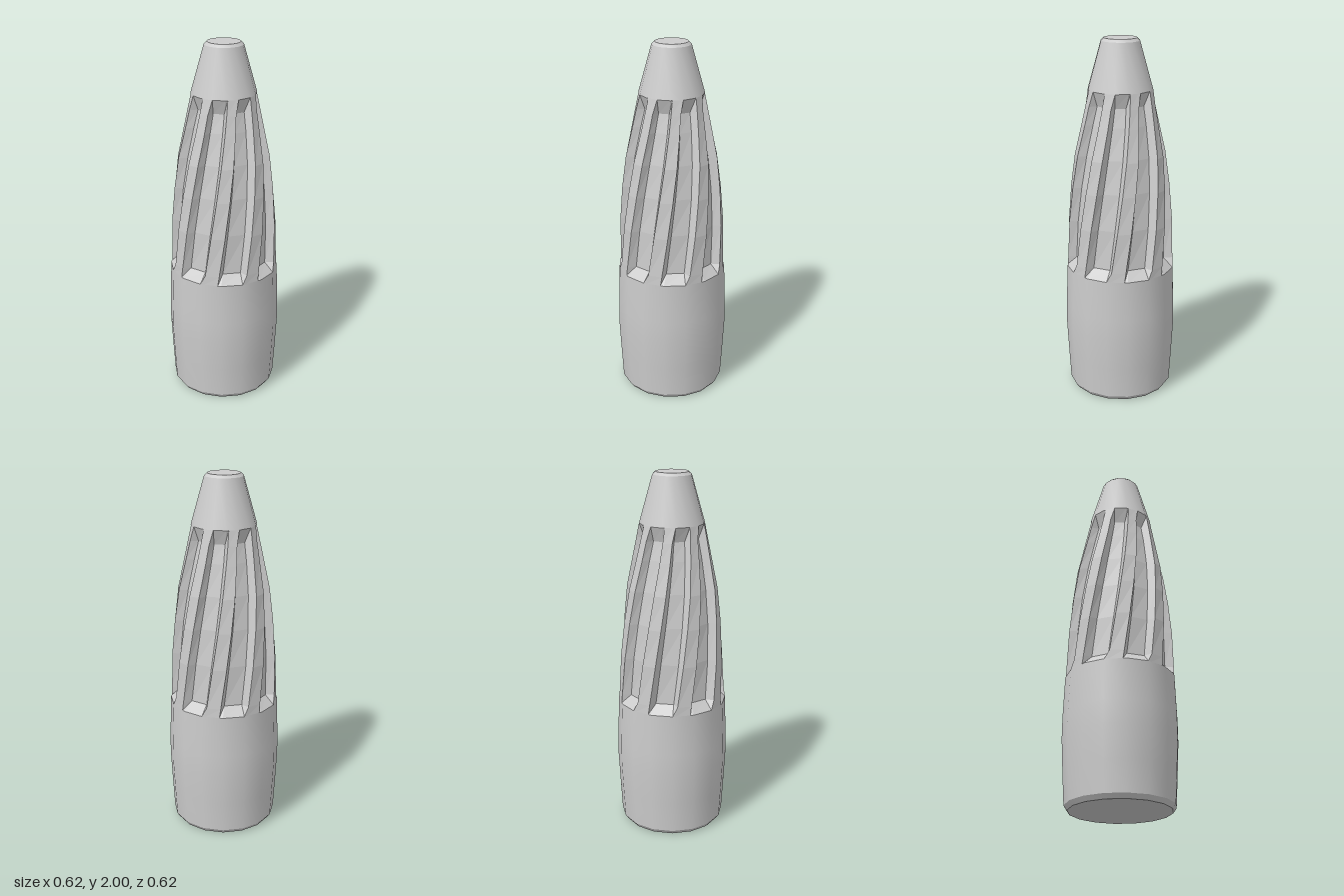
import * as THREE from 'three';
import { toCreasedNormals } from 'three/addons/utils/BufferGeometryUtils.js';

const RAD = Math.PI / 180;
const FLUTES = 8, SIDES = 16, HALF = 180 / SIDES;
const START = 2, TWIST = 28, Y0 = 0.73, Y1 = 1.73;

// flute centre angle (degrees from +z towards +x) at a height
const turn = y => START + TWIST * (y - Y0) / (Y1 - Y0);

// smooth 16-sided turned part whose corners line up with the flutes
function turned(name, profile, degrees) {
  const pts = profile.map(([r, y]) => new THREE.Vector2(r, y));
  const geo = new THREE.LatheGeometry(pts, SIDES, (degrees + HALF) * RAD);
  const mesh = new THREE.Mesh(toCreasedNormals(geo, 0.5),
    new THREE.MeshStandardMaterial({ color: 0xcccccc }));
  mesh.name = name;
  return mesh;
}

// faceted middle section with twisted grooves
function flutedSection() {
  // height, ridge radius, groove floor radius
  const rows = [
    [0.73, 0.302, 0.302], [0.78, 0.300, 0.250], [1.0, 0.292, 0.243],
    [1.2, 0.275, 0.226], [1.38, 0.252, 0.202], [1.55, 0.215, 0.170],
    [1.65, 0.194, 0.148], [1.73, 0.177, 0.177],
  ];
  // offset from flute centre, and whether the corner is on the groove floor
  const corners = [[-15, false], [-HALF, true], [HALF, true], [15, false]];
  const cols = FLUTES * corners.length;
  const pos = [], index = [];
  for (const [y, ridge, floor] of rows) {
    for (let c = 0; c < cols; c++) {
      const [offset, low] = corners[c % 4];
      // keep ridge corners on the flat sides of the 16-gon
      const r = low ? floor : ridge * Math.cos(HALF * RAD) / Math.cos((22.5 - 15) * RAD);
      const a = (turn(y) + Math.floor(c / 4) * 360 / FLUTES + offset) * RAD;
      pos.push(r * Math.sin(a), y, r * Math.cos(a));
    }
  }
  for (let j = 0; j < rows.length - 1; j++) {
    for (let c = 0; c < cols; c++) {
      const a = j * cols + c, b = j * cols + (c + 1) % cols;
      index.push(a, b, b + cols, a, b + cols, a + cols);
    }
  }
  const geo = new THREE.BufferGeometry();
  geo.setAttribute('position', new THREE.Float32BufferAttribute(pos, 3));
  geo.setIndex(index);
  geo.computeVertexNormals();
  const mesh = new THREE.Mesh(geo,
    new THREE.MeshStandardMaterial({ color: 0xcccccc, flatShading: true }));
  mesh.name = 'flutedSection';
  return mesh;
}

export function createModel() {
  const group = new THREE.Group();
  group.name = 'flutedTip';
  // closed base with a small chamfer and a slight bulge
  group.add(turned('body', [
    [0, 0], [0.275, 0], [0.293, 0.025], [0.303, 0.2], [0.312, 0.38],
    [0.311, 0.5], [0.302, Y0],
  ], turn(Y0)));
  group.add(flutedSection());
  // tapered nose with a chamfered flat top
  group.add(turned('nose', [
    [0.177, Y1], [0.105, 1.985], [0.09, 2], [0, 2],
  ], turn(Y1)));
  return group;
}
